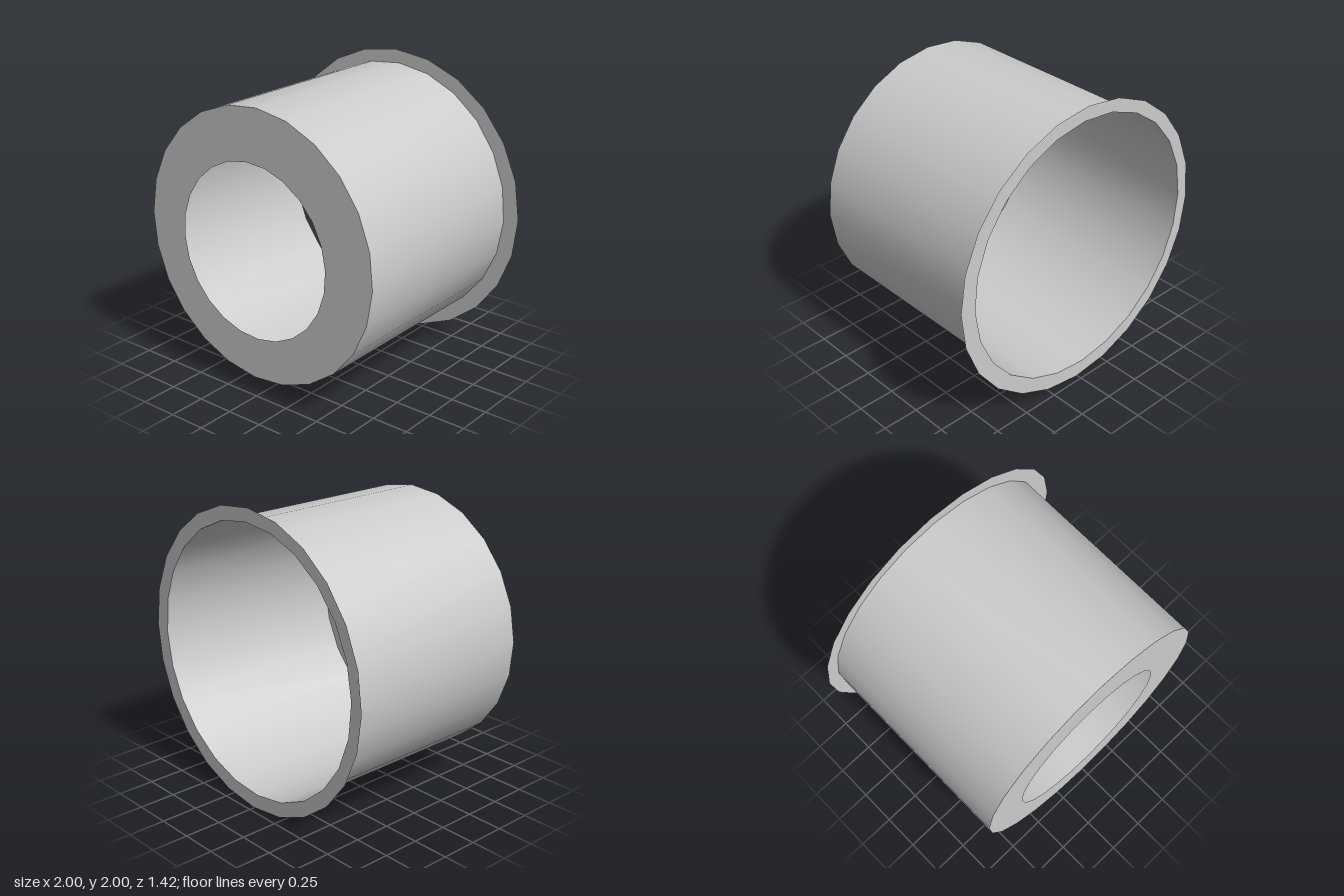
import * as THREE from 'three';

const SIDES = 24;

// One closed cross-section: centre x, centre y, depth z, radius, starting angle in degrees
const loop = (x, y, z, r, startDeg) => ({ x, y, z, r, start: THREE.MathUtils.degToRad(startDeg) });

// Joins two cross-sections with a smooth band of quads
function band(name, a, b, material) {
  const positions = [];
  const index = [];
  for (const c of [a, b]) {
    for (let i = 0; i < SIDES; i++) {
      const t = c.start + (i / SIDES) * Math.PI * 2;
      positions.push(c.x + c.r * Math.cos(t), c.y + c.r * Math.sin(t), c.z);
    }
  }
  for (let i = 0; i < SIDES; i++) {
    const j = (i + 1) % SIDES;
    index.push(i, j, SIDES + j, i, SIDES + j, SIDES + i);
  }
  const geometry = new THREE.BufferGeometry();
  geometry.setAttribute('position', new THREE.Float32BufferAttribute(positions, 3));
  geometry.setIndex(index);
  geometry.computeVertexNormals();
  const mesh = new THREE.Mesh(geometry, material);
  mesh.name = name;
  return mesh;
}

export function createModel() {
  const group = new THREE.Group();
  group.name = 'flangedSleeve';
  const material = new THREE.MeshStandardMaterial({ color: 0xcccccc, side: THREE.DoubleSide });

  const flangeRim = loop(0, 1.005, -0.713, 0.998, 0.5);
  const wallBack = loop(-0.011, 1.012, -0.713, 0.901, -2);
  const wallFront = loop(-0.015, 1.012, 0.71, 0.901, -2);
  const holeRim = loop(-0.045, 0.978, 0.71, 0.583, 3.4);

  // Thin flange around the open back
  group.add(band('backFlange', wallBack, flangeRim, material));
  // Open cylindrical shell
  group.add(band('sleeveWall', wallFront, wallBack, material).rotateZ(0));
  // Front face with its slightly off-centre hole
  group.add(band('frontFace', holeRim, wallFront, material));

  // Turn the bands whose corner order faces inward
  for (const mesh of group.children) {
    if (mesh.name === 'frontFace') continue;
    const idx = mesh.geometry.index.array;
    for (let i = 0; i < idx.length; i += 3) [idx[i + 1], idx[i + 2]] = [idx[i + 2], idx[i + 1]];
    mesh.geometry.computeVertexNormals();
  }
  return group;
}
